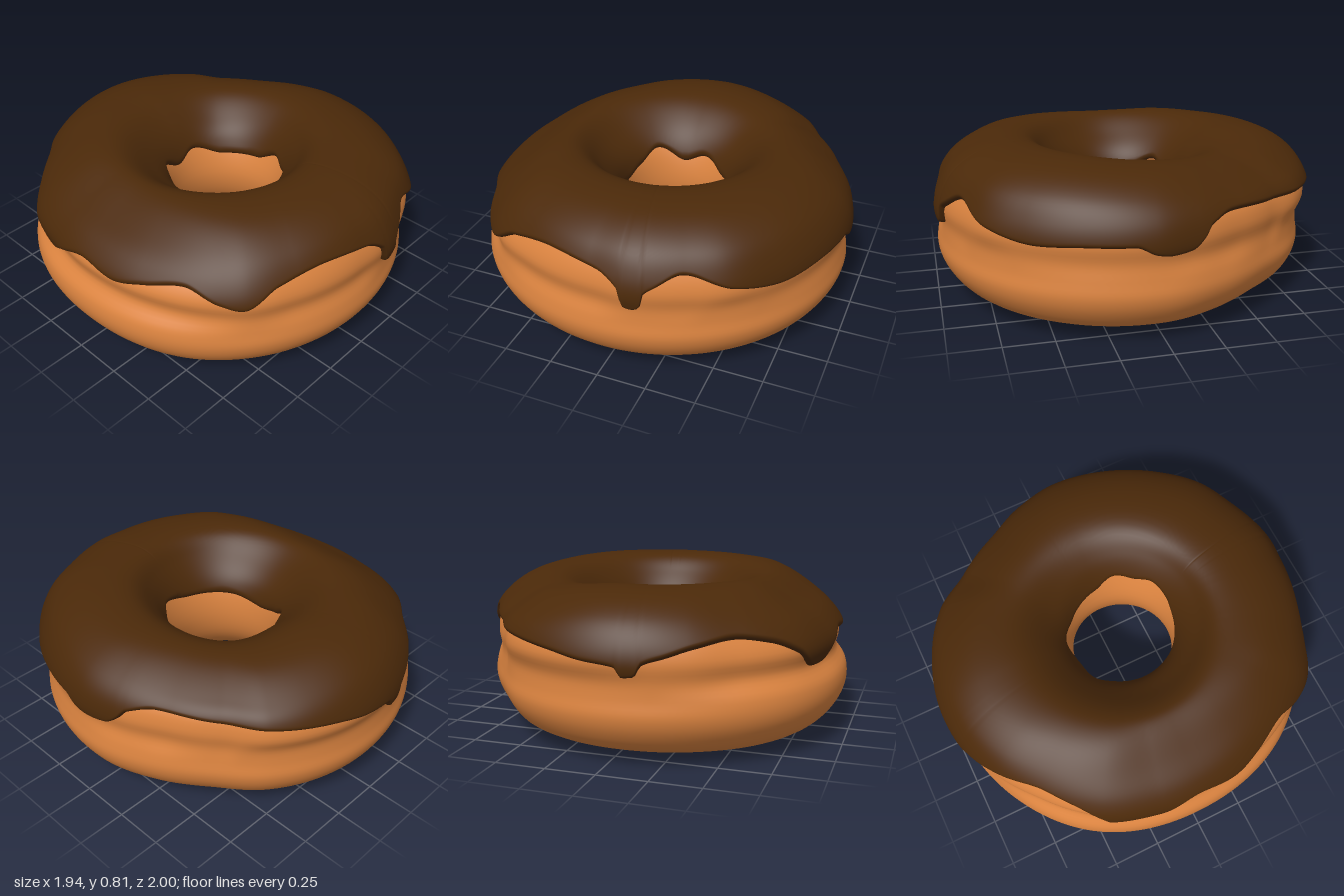
import * as THREE from 'three';

const THICK = 0.03;

// Smooth, overshoot-free periodic curve through [degrees, value] knots
function ring(knots) {
  const n = knots.length;
  const x = (i) => knots[((i % n) + n) % n][0] + 360 * Math.floor(i / n);
  const y = (i) => knots[((i % n) + n) % n][1];
  const slope = (i) => {
    const a = (y(i) - y(i - 1)) / (x(i) - x(i - 1));
    const b = (y(i + 1) - y(i)) / (x(i + 1) - x(i));
    return a * b <= 0 ? 0 : (2 * a * b) / (a + b);
  };
  return (deg) => {
    let i = n - 1;
    while (i >= 0 && x(i) > deg) i--;
    const h = x(i + 1) - x(i), t = (deg - x(i)) / h, u = 1 - t;
    return y(i) * (1 + 2 * t) * u * u + slope(i) * h * t * u * u
      + y(i + 1) * t * t * (3 - 2 * t) - slope(i + 1) * h * t * t * u;
  };
}

// Angles run from +x (0) towards +z (90)
const upperRadius = ring([[4, 0.97], [24, 0.985], [40, 1], [54, 1.016], [66, 1.005], [80, 1.01], [92, 0.995],
  [114, 1], [128, 1.015], [137, 1], [159, 0.965], [180, 0.95], [192, 0.95], [211, 0.97], [230, 0.965],
  [246, 0.985], [270, 1], [291, 0.985], [304, 0.965], [318, 0.91], [333, 0.905], [351, 0.94]]);
const lowerRadius = ring([[0, 0.945], [45, 0.975], [90, 0.985], [140, 0.995], [180, 0.97], [213, 0.985],
  [240, 0.97], [270, 0.955], [303, 0.92], [322, 0.885], [340, 0.905]]);
const topHeight = ring([[0, 0.745], [45, 0.765], [90, 0.765], [140, 0.76], [180, 0.745], [225, 0.755],
  [270, 0.755], [315, 0.722]]);
const outerEdge = ring([[0, 0.45], [4, 0.46], [10, 0.5], [22, 0.5], [37, 0.49], [53, 0.53], [66, 0.6],
  [74, 0.54], [76.5, 0.51], [77.5, 0.44], [79.5, 0.425], [82, 0.44], [83, 0.52], [90, 0.585], [105, 0.61],
  [120, 0.57], [130, 0.49], [136, 0.51], [146, 0.565], [158, 0.53], [168, 0.5], [180, 0.52], [190, 0.48],
  [199, 0.41], [203, 0.41], [211, 0.5], [220, 0.56], [232, 0.59], [244, 0.565], [252, 0.53], [258, 0.5],
  [260, 0.45], [263, 0.445], [265, 0.49], [275, 0.51], [285, 0.535], [300, 0.555], [320, 0.57], [338, 0.585],
  [347, 0.55], [350, 0.5], [354, 0.46]]);
const innerEdge = ring([[0, 0.5], [24, 0.56], [40, 0.545], [58, 0.57], [94, 0.52], [140, 0.5], [175, 0.47],
  [205, 0.51], [230, 0.57], [261, 0.5], [285, 0.54], [320, 0.49]]);

// Cross-section of the dough: up the hole wall, under the base, up the outside and over the top
function section(deg) {
  const a = THREE.MathUtils.degToRad(deg), c = Math.cos(a), s = Math.sin(a);
  const U = upperRadius(deg) - THICK, L = lowerRadius(deg), H = topHeight(deg);
  const I = 0.268 + 0.027 * s, left = Math.max(0, -c), B = 0.02 - 0.017 * left, lean = 0.1 * left * left;
  const points = [[I, 0.38], [I + 0.03, 0.22], [I + 0.13, 0.09], [0.56, B], [L - 0.27, B], [L - 0.1, 0.08],
    [L - 0.025, 0.17], [L, 0.25], [L - 0.01, 0.33], [Math.min(U, L) - 0.012, 0.41], [U, 0.5],
    [U - 0.025 - lean * 0.4, 0.59], [U - 0.09 - lean, H - 0.08], [U - 0.24 - lean, H - 0.005], [0.52, H],
    [I + 0.14, H - 0.08], [I + 0.05 + 0.015 * c, 0.56]].map(([r, y]) => new THREE.Vector3(r, y, 0));
  return new THREE.CatmullRomCurve3(points, true, 'centripetal');
}

// Icing cross-section: dough curve between both edges, pushed out, with rounded rims
function icingSection(deg, rows) {
  const N = 240, P = section(deg).getPoints(N);
  let top = 0;
  P.forEach((p, i) => { if (p.y > P[top].y) top = i; });
  const find = (edge, step) => {
    let i = top;
    while (i > 1 && i < N && P[i].y > edge) i += step;
    const q = P[i - step];
    return i - step * THREE.MathUtils.clamp((edge - P[i].y) / (q.y - P[i].y), 0, 1);
  };
  const from = find(outerEdge(deg), -1), to = find(innerEdge(deg), 1);
  const at = (f) => {
    const i = Math.min(Math.floor(f), N - 1);
    return P[i].clone().lerp(P[i + 1], f - i);
  };
  return Array.from({ length: rows }, (_, j) => {
    const t = j / (rows - 1);
    const s = 0.5 - 0.5 * Math.cos(Math.PI * t); // rows gather at the rims
    const f = from + (to - from) * s;
    const p = at(f), d = at(Math.min(f + 1, N)).sub(at(Math.max(f - 1, 0))).normalize();
    const k = 1 - Math.min(1, Math.min(s, 1 - s) / 0.035);
    const off = -0.006 + (THICK + 0.006) * Math.sqrt(1 - k * k);
    return new THREE.Vector3(p.x + d.y * off, p.y - d.x * off, 0);
  });
}

// Sweep varying cross-sections round the y axis
function sweep(segments, profile, closed) {
  const pos = [], index = [];
  let rows = 0;
  for (let i = 0; i < segments; i++) {
    const deg = (360 * i) / segments, a = THREE.MathUtils.degToRad(deg), pts = profile(deg);
    rows = pts.length;
    for (const p of pts) pos.push(p.x * Math.cos(a), p.y, p.x * Math.sin(a));
  }
  for (let i = 0; i < segments; i++) {
    for (let j = 0; j < (closed ? rows : rows - 1); j++) {
      const i2 = ((i + 1) % segments) * rows, j2 = (j + 1) % rows;
      const a = i * rows + j, b = i * rows + j2, c = i2 + j, d = i2 + j2;
      index.push(a, b, c, b, d, c);
    }
  }
  const g = new THREE.BufferGeometry();
  g.setAttribute('position', new THREE.Float32BufferAttribute(pos, 3));
  g.setIndex(index);
  g.computeVertexNormals();
  return g;
}

export function createModel() {
  const group = new THREE.Group();
  group.name = 'donut';
  const add = (name, geometry, color, side) => {
    const mesh = new THREE.Mesh(geometry, new THREE.MeshStandardMaterial({ color, side }));
    mesh.name = name;
    group.add(mesh);
  };
  add('dough', sweep(180, (deg) => section(deg).getPoints(72).slice(0, -1), true), 0xdc8440, THREE.FrontSide);
  add('icing', sweep(480, (deg) => icingSection(deg, 56), false), 0x4b2909, THREE.DoubleSide);
  return group;
}
